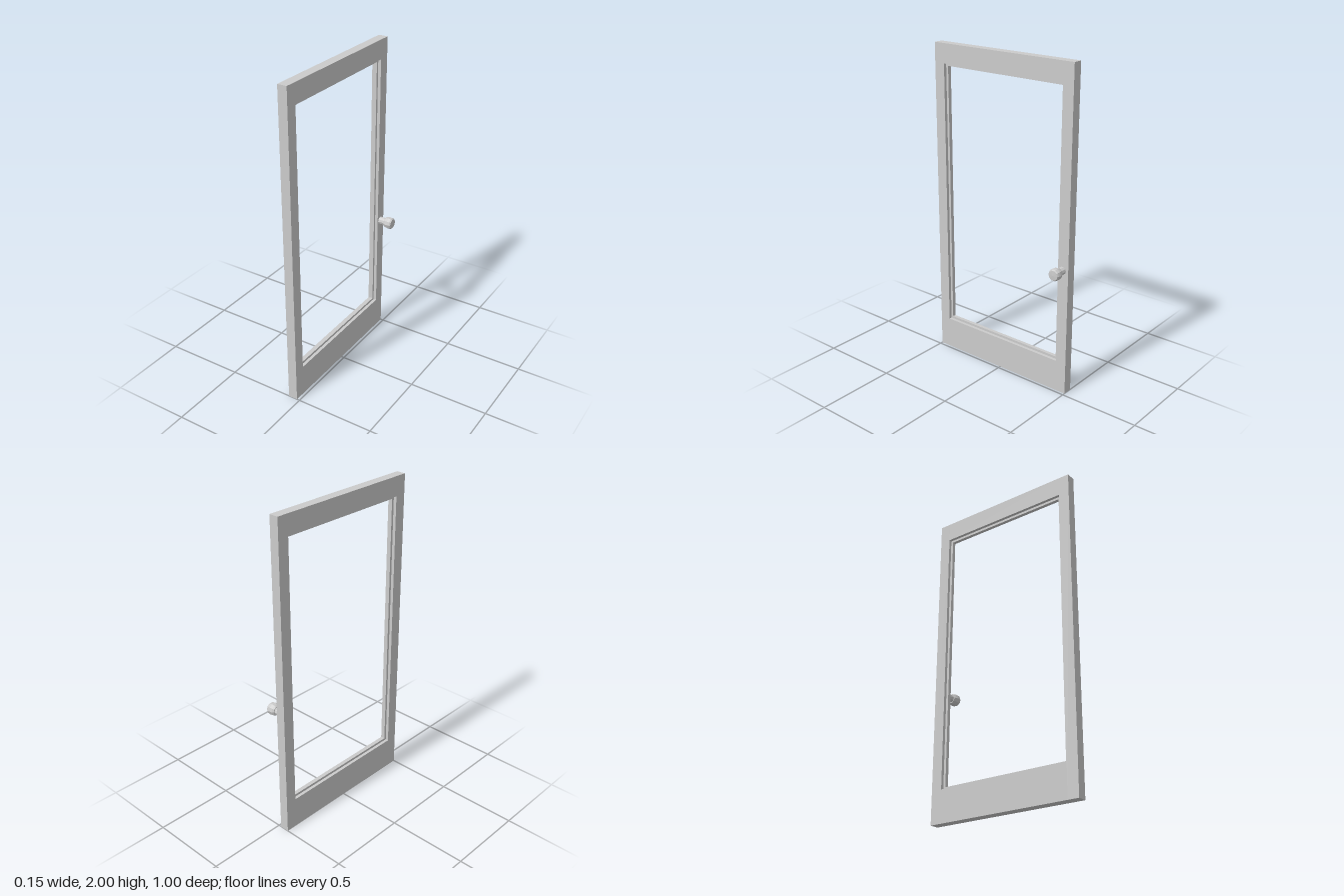
import * as THREE from 'three';

const material = new THREE.MeshStandardMaterial({ color: 0xcccccc, flatShading: true });

export function createModel() {
  const door = new THREE.Group();
  door.name = 'glazedDoorFrame';

  // Box given by its lower and upper limits
  const box = (name, x0, x1, y0, y1, z0, z1) => {
    const mesh = new THREE.Mesh(new THREE.BoxGeometry(x1 - x0, y1 - y0, z1 - z0), material);
    mesh.name = name;
    mesh.position.set((x0 + x1) / 2, (y0 + y1) / 2, (z0 + z1) / 2);
    door.add(mesh);
  };

  // Stiles and rails
  const back = -0.077, face = -0.018, inner = 0.43, low = 0.2, high = 1.88;
  box('hingeStile', back, face, 0, 2, inner, 0.5);
  box('latchStile', back, face, 0, 2, -0.5, -inner);
  box('bottomRail', back, face, 0, low, -inner, inner);
  box('topRail', back, face, high, 2, -inner, inner);

  // Thin bead running round the middle of the opening
  const b0 = -0.058, b1 = -0.037, lip = 0.015;
  box('hingeBead', b0, b1, low, high, inner - lip, inner);
  box('latchBead', b0, b1, low, high, -inner, -inner + lip);
  box('bottomBead', b0, b1, low, low + lip, -inner + lip, inner - lip);
  box('topBead', b0, b1, high - lip, high, -inner + lip, inner - lip);

  // Door knob, turned about the x axis
  const knob = new THREE.Group();
  knob.name = 'knob';
  const turned = (name, profile, sides) => {
    const points = profile.map(([r, x]) => new THREE.Vector2(r, x));
    const mesh = new THREE.Mesh(new THREE.LatheGeometry(points, sides), material);
    mesh.name = name;
    mesh.rotation.z = -Math.PI / 2;
    knob.add(mesh);
  };
  turned('knobNeck', [[0.024, 0], [0.024, 0.042]], 10);
  turned('knobHead', [[0, 0.039], [0.029, 0.039], [0.035, 0.05], [0.038, 0.068],
    [0.036, 0.085], [0.031, 0.093], [0, 0.095]], 10);
  knob.position.set(face, 0.8, -0.46);
  door.add(knob);

  return door;
}
